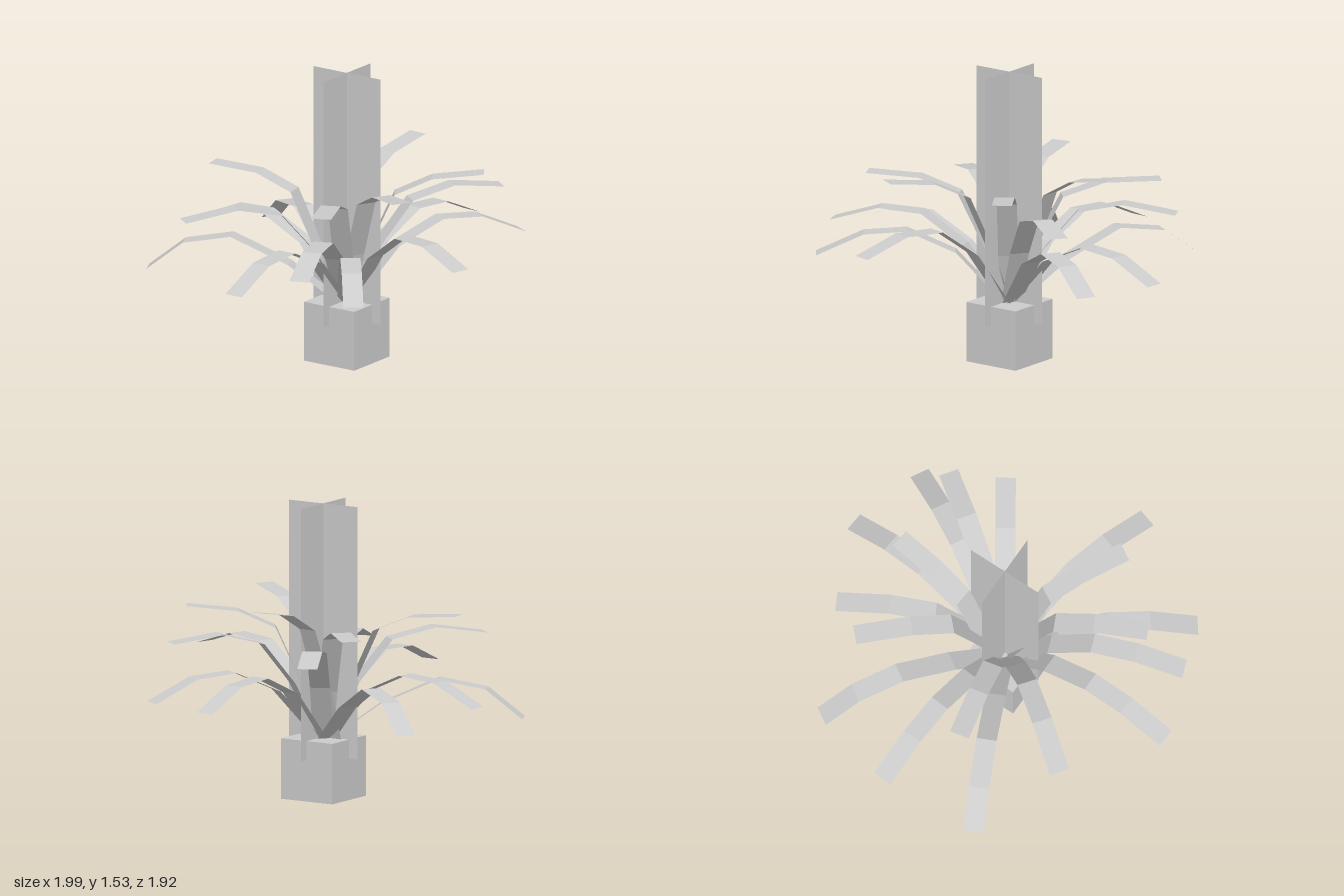
import * as THREE from 'three';

const grey = new THREE.MeshStandardMaterial({ color: 0xcccccc, flatShading: true, side: THREE.DoubleSide });
const CENTRE_Z = 0.04;
const LEAF_WIDTH = 0.104;

// Side profiles of a leaf as [distance from stem, height], from drooping to upright
const profiles = {
  low: [[0, 0.28], [0.3, 0.5], [0.6, 0.635], [0.85, 0.59], [1.04, 0.44]],
  wide: [[0, 0.28], [0.27, 0.58], [0.52, 0.695], [0.74, 0.68], [0.98, 0.57]],
  arched: [[0, 0.27], [0.24, 0.6], [0.47, 0.76], [0.7, 0.77], [0.96, 0.69]],
  raised: [[0, 0.27], [0.18, 0.6], [0.36, 0.81], [0.6, 0.86], [0.88, 0.815]],
  upright: [[0, 0.27], [0.1, 0.58], [0.24, 0.895], [0.43, 0.985], [0.69, 1.015]],
};

// Leaves: profile, tip x, tip y, tip z, optional base x and z
const leaves = [
  ['low', -0.44, 0.44, -0.9],
  ['low', 0.55, 0.48, -0.825],
  ['wide', 0.083, 0.57, -0.96],
  ['wide', 0.99, 0.57, 0.12],
  ['wide', 0.86, 0.57, 0.53],
  ['wide', -0.79, 0.57, 0.64],
  ['wide', -1.0, 0.58, 0.035],
  ['arched', -0.27, 0.69, 0.945],
  ['arched', -0.89, 0.685, 0.37],
  ['raised', 0.77, 0.815, -0.365],
  ['raised', -0.7, 0.815, -0.495],
  ['raised', 0.68, 0.855, 0.53],
  ['upright', -0.195, 0.985, -0.665, -0.05, 0.02],
  ['upright', 0.565, 0.94, -0.5],
  ['upright', 0.645, 1.055, 0.03, 0, -0.03],
  ['upright', 0.39, 1.005, 0.625],
  ['upright', -0.345, 1.015, 0.63],
  ['upright', -0.675, 0.965, 0.355],
];

// A flat strip bent along its profile and aimed at its tip
function makeLeaf([type, tipX, tipY, tipZ, baseX = 0, baseZ = CENTRE_Z]) {
  const profile = profiles[type];
  const [endR, endY] = profile[4];
  const dir = new THREE.Vector2(tipX - baseX, tipZ - baseZ);
  const length = dir.length();
  dir.normalize();
  const geometry = new THREE.PlaneGeometry(LEAF_WIDTH, 1, 1, 4);
  const pos = geometry.attributes.position;
  for (let i = 0; i < pos.count; i++) {
    const [r, y] = profile[Math.round((pos.getY(i) + 0.5) * 4)];
    const t = r / endR;
    const across = pos.getX(i);
    pos.setXYZ(
      i,
      baseX + dir.x * t * length - dir.y * across,
      y + (tipY - endY) * t,
      baseZ + dir.y * t * length + dir.x * across
    );
  }
  geometry.computeVertexNormals();
  const leaf = new THREE.Mesh(geometry, grey);
  leaf.name = 'leaf';
  return leaf;
}

export function createModel() {
  const model = new THREE.Group();
  model.name = 'pottedPlant';

  // Square pot
  const pot = new THREE.Mesh(new THREE.BoxGeometry(0.315, 0.315, 0.315), grey);
  pot.name = 'pot';
  pot.position.set(0, 0.1575, CENTRE_Z);
  model.add(pot);

  // Two crossed upright panels
  const stalk = new THREE.Group();
  stalk.name = 'stalk';
  for (const turn of [0, Math.PI / 2]) {
    const panel = new THREE.Mesh(new THREE.PlaneGeometry(0.42, 1.315), grey);
    panel.name = 'stalkPanel';
    panel.position.set(0, 0.873, CENTRE_Z);
    panel.rotation.y = turn;
    stalk.add(panel);
  }
  model.add(stalk);

  // Spray of bent leaves
  const foliage = new THREE.Group();
  foliage.name = 'foliage';
  for (const spec of leaves) foliage.add(makeLeaf(spec));
  model.add(foliage);

  return model;
}
